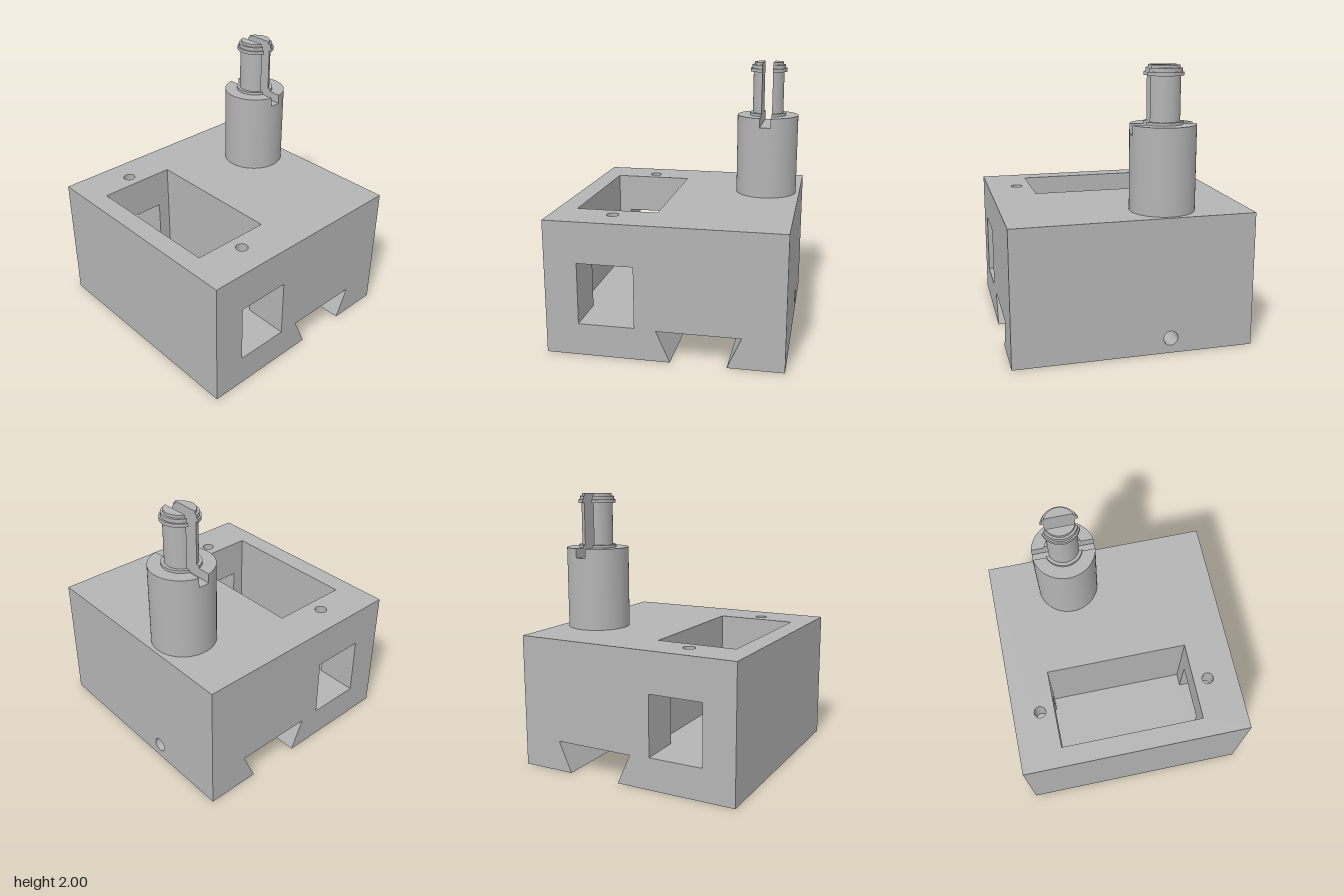
import * as THREE from 'three';
import { toCreasedNormals } from 'three/addons/utils/BufferGeometryUtils.js';

const HX = 0.85, HZ = 0.868, H = 0.985;          // block half width, half depth, height
const SLOT = { h: 0.225, top: [-0.05, 0.55], low: [0.05, 0.45] };
const WIN = [-0.61, 0.235, -0.205, 0.685];       // x0, y0, x1, y1
const POCKET = { x0: -0.705, x1: -0.107, z0: -0.552, z1: 0.532, floor: WIN[1] };
const BORE = { y: 0.11, z: -0.258, r: 0.053, end: -0.2 };
const PINS = [-0.663, 0.642], PIN_X = -0.407, PIN_R = 0.044, PIN_DEPTH = 0.2;

const rect = (x0, y0, x1, y1) => [[x0, y0], [x1, y0], [x1, y1], [x0, y1]];
const ellipse = (cx, cy, rx, ry = rx, n = 32) => Array.from({ length: n }, (_, i) => {
  const a = (i / n) * Math.PI * 2;
  return [cx + rx * Math.cos(a), cy + ry * Math.sin(a)];
});
const vec = (a) => new THREE.Vector3(...a);

export function createModel() {
  const model = new THREE.Group();
  const grey = new THREE.MeshStandardMaterial({ color: 0xb4b4b4 });
  grey.name = 'machined grey';

  const add = (parent, name, geometry) => {
    const mesh = new THREE.Mesh(geometry, grey);
    mesh.name = name;
    parent.add(mesh);
    return mesh;
  };

  const block = new THREE.Group();
  block.name = 'block';
  model.add(block);

  // Flat face in the plane origin + u, v; it faces u x v
  const face = (name, origin, u, v, outline, holes = []) => {
    const toPoints = (loop) => loop.map((p) => new THREE.Vector2(...p));
    const shape = new THREE.Shape(toPoints(outline));
    holes.forEach((h) => shape.holes.push(new THREE.Path(toPoints(h))));
    const U = vec(u), V = vec(v).normalize();
    const m = new THREE.Matrix4().makeBasis(U, V, U.clone().cross(V)).setPosition(...origin);
    add(block, name, new THREE.ShapeGeometry(shape).applyMatrix4(m));
  };

  // Inner walls of a hole, between a near loop and a deeper one
  const walls = (name, near, deep) => {
    const pos = [];
    near.forEach((a0, i) => {
      const j = (i + 1) % near.length;
      pos.push(...a0, ...near[j], ...deep[i], ...near[j], ...deep[j], ...deep[i]);
    });
    const g = new THREE.BufferGeometry();
    g.setAttribute('position', new THREE.Float32BufferAttribute(pos, 3));
    add(block, name, toCreasedNormals(g, 0.6));
  };

  const X = [1, 0, 0], Y = [0, 1, 0], Z = [0, 0, 1], NX = [-1, 0, 0], NZ = [0, 0, -1];
  const win = rect(...WIN);
  const { x0, x1, z0, z1, floor } = POCKET;

  // Front and back faces with the dovetail notch and window
  const outline = [
    [-HX, 0], [SLOT.low[0], 0], [SLOT.top[0], SLOT.h], [SLOT.top[1], SLOT.h],
    [SLOT.low[1], 0], [HX, 0], [HX, H], [-HX, H],
  ];
  const flip = (loop) => loop.map(([x, y]) => [-x, y]);
  face('frontFace', [0, 0, HZ], X, Y, outline, [win]);
  face('backFace', [0, 0, -HZ], NX, Y, flip(outline), [flip(win)]);

  // Top with pocket and pin holes
  const pocket = rect(x0, -z1, x1, -z0);
  const pins = PINS.map((z) => ellipse(PIN_X, -z, PIN_R));
  face('topFace', [0, H, 0], X, NZ, rect(-HX, -HZ, HX, HZ), [pocket, ...pins]);

  // Sides and the two strips of the underside
  const bore = ellipse(-BORE.z, BORE.y, BORE.r);
  face('leftFace', [HX, 0, 0], NZ, Y, rect(-HZ, 0, HZ, H), [bore]);
  face('rightFace', [-HX, 0, 0], Z, Y, rect(-HZ, 0, HZ, H));
  face('undersideWide', [0, 0, 0], X, Z, rect(-HX, -HZ, SLOT.low[0], HZ));
  face('undersideNarrow', [0, 0, 0], X, Z, rect(SLOT.low[1], -HZ, HX, HZ));

  // Dovetail channel: roof and two undercut sides pierced by the bore
  const run = SLOT.low[0] - SLOT.top[0];
  const slant = Math.hypot(run, SLOT.h), k = slant / SLOT.h;
  face('channelRoof', [0, SLOT.h, 0], X, Z, rect(SLOT.top[0], -HZ, SLOT.top[1], HZ));
  face('channelSideA', [SLOT.low[0], 0, 0], NZ, [-run, SLOT.h, 0], rect(-HZ, 0, HZ, slant),
    [ellipse(-BORE.z, BORE.y * k, BORE.r, BORE.r * k)]);
  face('channelSideB', [SLOT.low[1], 0, 0], Z, [run, SLOT.h, 0], rect(-HZ, 0, HZ, slant),
    [ellipse(BORE.z, BORE.y * k, BORE.r, BORE.r * k)]);

  // Cross bore, ending blind beyond the channel
  const boreAt = (xOf) => bore.map(([u, y]) => [xOf(y), y, -u]);
  const lean = run / SLOT.h;
  walls('crossBoreOuter', boreAt(() => HX), boreAt((y) => SLOT.low[1] + lean * y));
  walls('crossBoreInner', boreAt((y) => SLOT.low[0] - lean * y), boreAt(() => BORE.end));
  face('crossBoreEnd', [BORE.end, 0, 0], NZ, Y, bore);

  // Blind pin holes
  pins.forEach((pin) => {
    const at = (h) => pin.map(([x, v]) => [x, h, -v]);
    walls('pinHole', at(H), at(H - PIN_DEPTH));
    face('pinHoleEnd', [0, H - PIN_DEPTH, 0], X, NZ, pin);
  });

  // Window passages, front and back
  const winAt = (z) => win.map(([x, y]) => [x, y, z]);
  walls('frontWindow', winAt(HZ), winAt(z1));
  walls('backWindow', winAt(z0), winAt(-HZ));

  // Pocket: floor, plain sides, and end walls notched by the window
  face('pocketFloor', [0, floor, 0], X, NZ, pocket);
  face('pocketSide', [x0, 0, 0], NZ, Y, rect(-z1, floor, -z0, H));
  face('pocketSide', [x1, 0, 0], Z, Y, rect(z0, floor, z1, H));
  const notched = [
    [x0, floor], [WIN[0], floor], [WIN[0], WIN[3]], [WIN[2], WIN[3]],
    [WIN[2], floor], [x1, floor], [x1, H], [x0, H],
  ];
  face('pocketEndBack', [0, 0, z0], X, Y, notched);
  face('pocketEndFront', [0, 0, z1], NX, Y, flip(notched));

  // Post: solid barrel, then a stack of rings split by a slot
  const post = new THREE.Group();
  post.name = 'post';
  post.position.set(0.588, 0, -0.26);
  model.add(post);
  const R = 0.234, GAP = 0.04, SPLIT = 1.525;
  add(post, 'barrel', new THREE.CylinderGeometry(R, R, SPLIT - H, 64)).position.y = (SPLIT + H) / 2;

  const rings = [
    ['barrelTop', R, SPLIT, 1.595],
    ['baseCollar', 0.14, 1.595, 1.615],
    ['neck', 0.117, 1.615, 1.928],
    ['headFlange', 0.139, 1.928, 1.953],
    ['headStep', 0.127, 1.953, 1.98],
    ['headCap', 0.11, 1.98, 2.0],
  ];
  for (const [name, r, low, high] of rings) {
    const a = Math.acos(GAP / r);
    const segment = new THREE.Shape().absarc(0, 0, r, -a, a, false);
    const g = new THREE.ExtrudeGeometry(segment, { depth: high - low, bevelEnabled: false, curveSegments: 32 });
    const half = toCreasedNormals(g.rotateX(-Math.PI / 2), 0.6);
    for (const turn of [0, Math.PI]) {
      const mesh = add(post, name, half);
      mesh.position.y = low;
      mesh.rotation.y = turn;
    }
  }
  return model;
}
